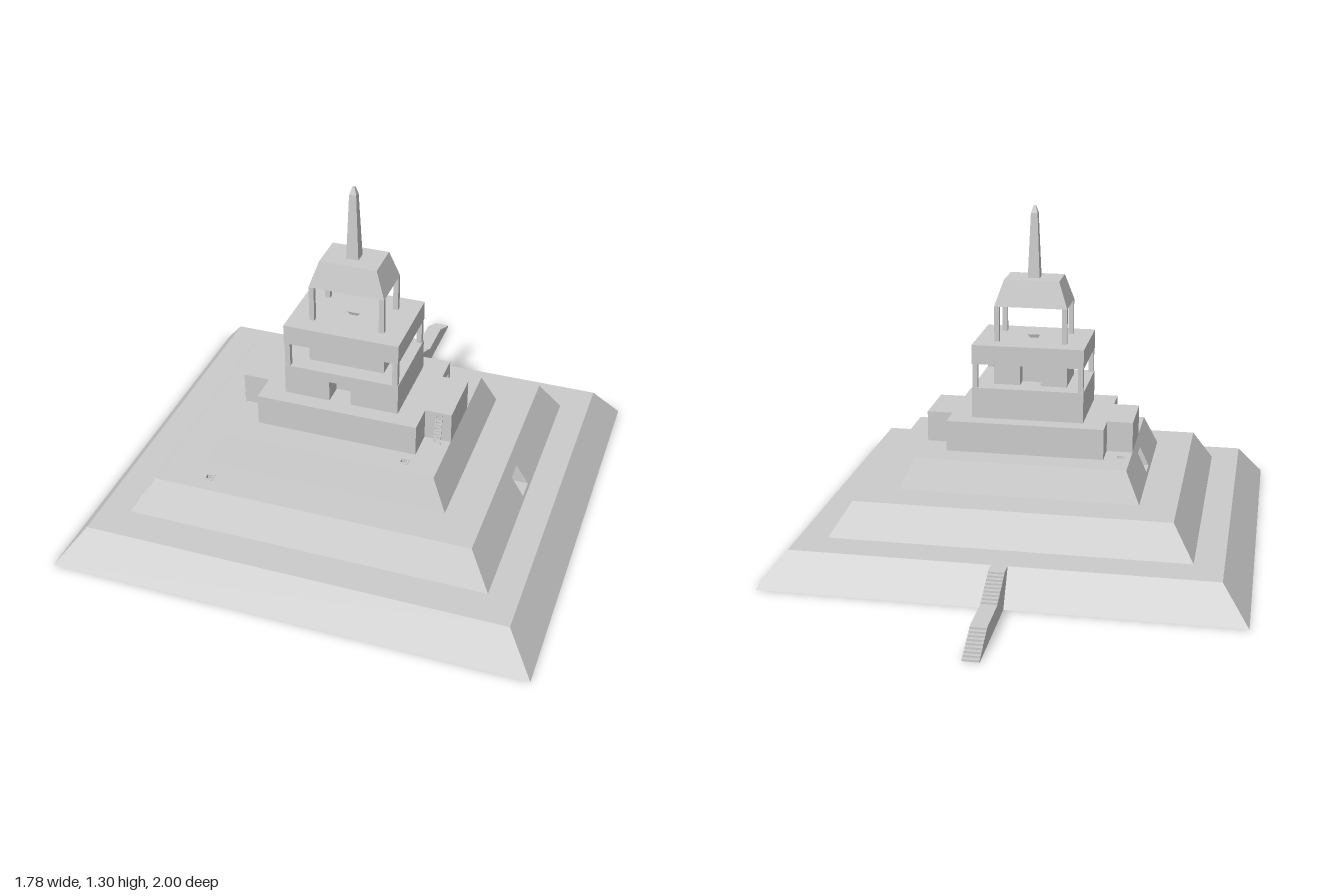
import * as THREE from 'three';

const mat = new THREE.MeshStandardMaterial({ color: 0xcccccc, flatShading: true, side: THREE.DoubleSide });
const CZ = 0.2; // centre line of the tower in z

export function createModel() {
  const model = new THREE.Group();

  const add = (name, geo, parent = model) => {
    const mesh = new THREE.Mesh(geo, mat);
    mesh.name = name;
    parent.add(mesh);
    return mesh;
  };
  const group = (name) => {
    const g = new THREE.Group();
    g.name = name;
    model.add(g);
    return g;
  };
  // box given by its limits
  const box = (name, x0, x1, y0, y1, z0, z1, parent) =>
    add(name, new THREE.BoxGeometry(x1 - x0, y1 - y0, z1 - z0)
      .translate((x0 + x1) / 2, (y0 + y1) / 2, (z0 + z1) / 2), parent);
  // plan outline of [x, z] points, with holes
  const plan = (pts, holes = []) => {
    const shape = new THREE.Shape(pts.map(([x, z]) => new THREE.Vector2(x, -z)));
    shape.holes = holes.map((h) => plan(h));
    return shape;
  };
  const rect = (x0, x1, z0, z1) => [[x0, z0], [x0, z1], [x1, z1], [x1, z0]];
  const around = (x, z, s) => [x - s, x + s, z - s, z + s];
  // plan raised from y0 to y1
  const raise = (name, pts, y0, y1, parent, holes) =>
    add(name, new THREE.ExtrudeGeometry(plan(pts, holes), { depth: y1 - y0, bevelEnabled: false })
      .rotateX(-Math.PI / 2).translate(0, y0, 0), parent);
  // flat deck at height y
  const deck = (name, pts, y, parent, holes) =>
    add(name, new THREE.ShapeGeometry(plan(pts, holes)).rotateX(-Math.PI / 2).translate(0, y, 0), parent);

  // four sloping walls; a window {side, u, v} is cut from one of them
  const corners = ([x0, x1, z0, z1], y) =>
    [[x0, z1], [x1, z1], [x1, z0], [x0, z0]].map(([x, z]) => new THREE.Vector3(x, y, z));
  const slopes = (name, base, y0, top, y1, parent, window) => {
    const lo = corners(base, y0), hi = corners(top, y1);
    for (let i = 0; i < 4; i++) {
      const j = (i + 1) % 4;
      const shape = new THREE.Shape([[0, 0], [1, 0], [1, 1], [0, 1]].map((p) => new THREE.Vector2(...p)));
      if (window && window.side === i) {
        const [u0, u1] = window.u, [v0, v1] = window.v;
        shape.holes.push(new THREE.Path([[u0, v0], [u0, v1], [u1, v1], [u1, v0]].map((p) => new THREE.Vector2(...p))));
      }
      const geo = new THREE.ShapeGeometry(shape), pos = geo.attributes.position;
      for (let k = 0; k < pos.count; k++) {
        const u = pos.getX(k), v = pos.getY(k);
        const p = lo[i].clone().lerp(lo[j], u).lerp(hi[i].clone().lerp(hi[j], u), v);
        pos.setXYZ(k, p.x, p.y, p.z);
      }
      geo.computeVertexNormals();
      add(name, geo, parent);
    }
  };

  // stepped pyramid, hollow and open below
  const t1 = group('lowerTier'), t2 = group('middleTier'), t3 = group('upperTier');
  const top1 = [-0.79, 0.79, -0.515, 0.905], base2 = [-0.68, 0.68, -0.38, 0.775];
  const top2 = [-0.6, 0.6, -0.315, 0.71], top3 = [-0.405, 0.405, -0.13, 0.525];
  const shaftA = [-0.415, 0.64], shaftB = [-0.365, 0.015], shaftC = [0.277, 0.467];
  const shaftHole = ([x, z]) => rect(...around(x, z, 0.01));
  slopes('lowerSlope', [-0.89, 0.89, -0.6, 1], 0, top1, 0.13, t1);
  deck('lowerTerrace', rect(...top1), 0.13, t1, [rect(...base2)]);
  slopes('middleSlope', base2, 0.13, top2, 0.257, t2, { side: 1, u: [0.463, 0.533], v: [0.08, 0.68] });
  deck('middleTerrace', rect(...top2), 0.257, t2, [shaftHole(shaftA)]);
  slopes('upperSlope', [-0.46, 0.46, -0.168, 0.56], 0.257, top3, 0.375, t3, { side: 3, u: [0.445, 0.557], v: [0.1, 0.75] });
  deck('upperTerrace', rect(...top3), 0.375, t3, [shaftHole(shaftB), shaftHole(shaftC)]);

  // window niches: sill, back and cheeks
  const niche = (parent, xFace, xTop, xBack, y0, y1) => {
    const sides = new THREE.Shape([[xFace, y0], [xTop, y1], [xBack, y1], [xBack, y0]].map((p) => new THREE.Vector2(...p)));
    for (const z of [0.16, 0.24]) add('nicheCheek', new THREE.ShapeGeometry(sides).translate(0, 0, z), parent);
    const [a, b] = [Math.min(xFace, xBack), Math.max(xFace, xBack)];
    deck('nicheSill', rect(a, b, 0.16, 0.24), y0, parent);
    add('nicheBack', new THREE.PlaneGeometry(0.08, y1 - y0)
      .rotateY(Math.sign(xFace) * Math.PI / 2).translate(xBack, (y0 + y1) / 2, CZ), parent);
  };
  niche(t2, 0.673, 0.626, 0.6, 0.14, 0.216);
  niche(t3, -0.4545, -0.419, -0.39, 0.269, 0.345);

  // rooms inside the middle tier
  const rooms = group('rooms');
  [
    [-0.598, -0.57, -0.312, 0.708], [0.57, 0.598, -0.312, 0.16], [0.57, 0.598, 0.24, 0.708],
    [-0.57, 0.57, -0.312, -0.285], [-0.57, 0.57, 0.68, 0.708],
    [-0.38, 0.02, 0.02, 0.07], [-0.57, -0.5, 0.02, 0.07], [0.12, 0.24, 0.02, 0.07],
    [0.2, 0.25, -0.285, -0.2], [0.2, 0.25, -0.08, 0.3], [0.2, 0.25, 0.42, 0.68],
  ].forEach(([x0, x1, z0, z1]) => box('roomWall', x0, x1, 0.13, 0.256, z0, z1, rooms));

  // back stairs: two flights with a landing
  const steps = 9, profile = [[-0.515, 0], [-1, 0]];
  const flight = (z0, z1, y0, y1) => {
    for (let i = 0; i < steps; i++) {
      const z = z0 + (z1 - z0) * i / (steps - 1), y = y0 + (y1 - y0) * i / steps;
      profile.push([z, y], [z, y + (y1 - y0) / steps]);
    }
  };
  flight(-0.999, -0.88, 0.001, 0.066);
  flight(-0.7, -0.575, 0.066, 0.131);
  profile.push([-0.515, 0.131]);
  add('backStairs', new THREE.ExtrudeGeometry(
    new THREE.Shape(profile.map(([z, y]) => new THREE.Vector2(-z, y))), { depth: 0.06, bevelEnabled: false })
    .rotateY(Math.PI / 2).translate(-0.03, 0, 0));

  // cross-shaped storey with a doorway in a recessed side wall
  const cross = group('crossStorey');
  const outline = (door) => [
    [-0.305, -0.025], [-0.305, 0.08], [-0.405, 0.08], [-0.405, 0.305], [-0.305, 0.305], [-0.305, 0.418],
    [0.305, 0.418], [0.305, 0.305], [0.405, 0.305], [0.405, 0.08], [0.305, 0.08], ...door, [0.305, -0.025]];
  raise('crossLower', outline([[0.305, 0.075], [0.23, 0.075], [0.23, -0.005], [0.305, -0.005]]), 0.375, 0.455, cross);
  raise('crossUpper', outline([]), 0.455, 0.495, cross);

  // leaning ladder
  const ladder = group('ladder');
  for (const x of [-0.011, 0.011]) box('ladderRail', x - 0.002, x + 0.002, 0, 0.118, -0.002, 0.002, ladder);
  for (let i = 0; i < 8; i++) box('ladderRung', -0.011, 0.011, 0.006 + i * 0.012, 0.011 + i * 0.012, -0.002, 0.002, ladder);
  ladder.position.set(0.36, 0.375, 0.332);
  ladder.rotation.x = -0.19;

  // square storey with a front doorway
  const square = group('squareStorey');
  raise('squareLower', [[-0.217, 0.04], [-0.217, 0.358], [-0.045, 0.358], [-0.045, 0.28], [0.037, 0.28],
    [0.037, 0.358], [0.217, 0.358], [0.217, 0.04]], 0.495, 0.576, square);
  box('squareUpper', -0.217, 0.217, 0.576, 0.615, 0.04, 0.358, square);

  // gallery: core, corner posts and roof slab
  const gallery = group('gallery');
  raise('galleryCore', [[-0.143, 0.105], [-0.143, 0.295], [0.143, 0.295], [0.143, 0.105],
    [0.04, 0.105], [0.04, 0.16], [-0.04, 0.16], [-0.04, 0.105]], 0.615, 0.71, gallery);
  for (const sx of [-1, 1]) for (const sz of [-1, 1]) {
    const x = sx * 0.205, z = CZ + sz * 0.147;
    box('galleryPost', x - 0.01, x + 0.01, 0.615, 0.71, z - 0.01, z + 0.01, gallery);
  }
  box('gallerySlab', -0.217, 0.217, 0.71, 0.785, 0.04, 0.358, gallery);

  // open belfry: brazier, posts, hipped roof and spire
  const belfry = group('belfry');
  slopes('brazier', [-0.015, 0.015, 0.19, 0.21], 0.785, [-0.025, 0.025, 0.185, 0.215], 0.799, belfry);
  deck('brazierTop', rect(-0.025, 0.025, 0.185, 0.215), 0.799, belfry);
  for (const sx of [-1, 1]) for (const sz of [-1, 1]) {
    const x = sx * 0.132, z = CZ + sz * 0.083;
    box('belfryPost', x - 0.0095, x + 0.0095, 0.785, 0.923, z - 0.0095, z + 0.0095, belfry);
  }
  const eave = [-0.142, 0.142, 0.108, 0.292], ridge = [-0.107, 0.107, 0.13, 0.27];
  deck('roofSoffit', rect(...eave), 0.923, belfry);
  slopes('roofSlope', eave, 0.923, ridge, 1.025, belfry);
  deck('roofTop', rect(...ridge), 1.025, belfry);
  slopes('spireShaft', around(0, CZ, 0.023), 1.025, around(0, CZ, 0.013), 1.275, belfry);
  slopes('spireTip', around(0, CZ, 0.013), 1.275, around(0, CZ, 0.004), 1.303, belfry);
  deck('spireCap', rect(...around(0, CZ, 0.004)), 1.303, belfry);

  // small framed shafts sunk into the terraces
  const shafts = group('terraceShafts');
  [[shaftA, 0.257], [shaftB, 0.375], [shaftC, 0.375]].forEach(([c, y]) => {
    const well = around(...c, 0.01);
    raise('shaftFrame', rect(...around(...c, 0.017)), y, y + 0.002, shafts, [rect(...well)]);
    slopes('shaftWall', well, y - 0.1, well, y, shafts);
    deck('shaftFloor', rect(...well), y - 0.1, shafts);
  });

  return model;
}
